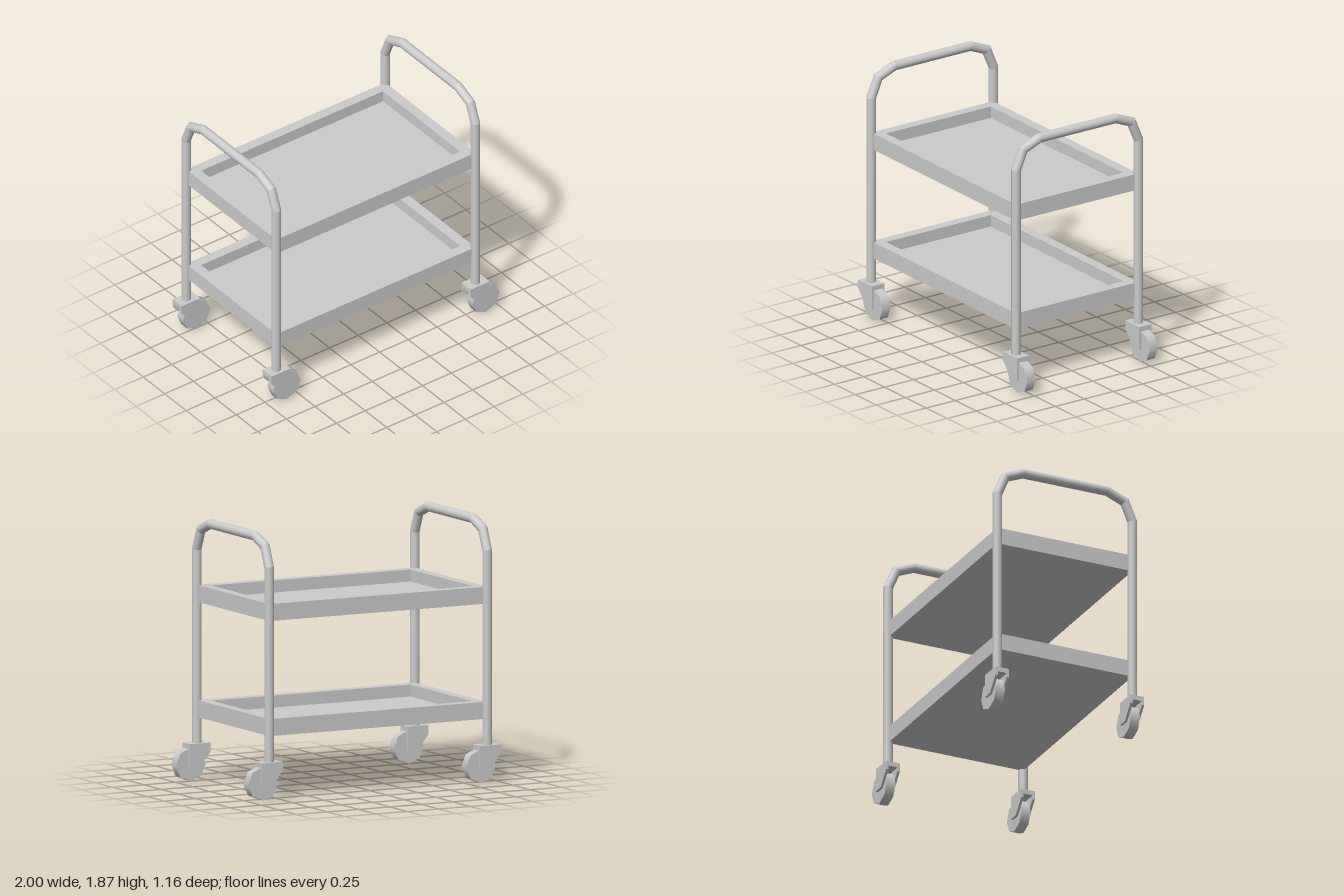
import * as THREE from 'three';
import { mergeGeometries } from 'three/addons/utils/BufferGeometryUtils.js';

const material = new THREE.MeshStandardMaterial({ color: 0xcccccc, side: THREE.DoubleSide });
const END_X = [-0.92, 0.815]; // x of the two end frames
const LEG_Z = 0.525;

function part(name, geometry, x = 0, y = 0, z = 0) {
  const mesh = new THREE.Mesh(geometry, material);
  mesh.name = name;
  mesh.position.set(x, y, z);
  return mesh;
}

// Round tube along [z, y] points, with mitred joints and straight segments
function mitredTube(points, radius) {
  const angles = points.slice(1).map((p, i) => Math.atan2(p[0] - points[i][0], p[1] - points[i][1]));
  const segments = angles.map((angle, i) => {
    const [z0, y0] = points[i], [z1, y1] = points[i + 1];
    const geometry = new THREE.CylinderGeometry(radius, radius, Math.hypot(z1 - z0, y1 - y0), 16, 1, true);
    const pos = geometry.attributes.position;
    for (let v = 0; v < pos.count; v++) {
      const neighbour = pos.getY(v) > 0 ? angles[i + 1] : angles[i - 1];
      const turn = (neighbour ?? angle) - angle;
      pos.setY(v, pos.getY(v) - pos.getZ(v) * Math.tan(turn / 2));
    }
    return geometry.rotateX(angle).translate(0, (y0 + y1) / 2, (z0 + z1) / 2);
  });
  return mergeGeometries(segments);
}

// Deep-rimmed tray with its floor set inside the rim
function createTray(name, y) {
  const tray = new THREE.Group();
  tray.name = name;
  const rect = (Type, x0, x1, z0, z1) => new Type([
    new THREE.Vector2(x0, z0), new THREE.Vector2(x1, z0),
    new THREE.Vector2(x1, z1), new THREE.Vector2(x0, z1),
  ]);
  const outline = rect(THREE.Shape, END_X[0], END_X[1], -LEG_Z, LEG_Z);
  outline.holes.push(rect(THREE.Path, -0.845, 0.74, -0.45, 0.45));
  const rim = new THREE.ExtrudeGeometry(outline, { depth: 0.12, bevelEnabled: false }).rotateX(-Math.PI / 2);
  tray.add(part('trayRim', rim));
  tray.add(part('trayFloor', new THREE.BoxGeometry(1.585, 0.035, 0.9), -0.0525, 0.0175, 0));
  tray.position.y = y;
  return tray;
}

// Fork and wheel; the origin is on the floor below the leg
function createCaster() {
  const caster = new THREE.Group();
  caster.name = 'caster';
  const cheek = new THREE.Shape([[-0.08, 0.23], [-0.08, 0.2], [0.01, 0.095], [0.085, 0.095], [0.085, 0.23]]
    .map(([x, y]) => new THREE.Vector2(x, y)));
  for (const z of [-0.053, 0.035]) {
    caster.add(part('forkCheek', new THREE.ExtrudeGeometry(cheek, { depth: 0.018, bevelEnabled: false }), 0, 0, z));
  }
  caster.add(part('forkTop', new THREE.BoxGeometry(0.165, 0.035, 0.106), 0.0025, 0.2475, 0));
  const wheel = new THREE.CylinderGeometry(0.118, 0.118, 0.07, 8).rotateX(Math.PI / 2);
  caster.add(part('wheel', wheel, 0.067, 0.118, 0));
  return caster;
}

export function createModel() {
  const cart = new THREE.Group();
  cart.name = 'trolley';

  // Arched end frames: legs and push handle in one bent tube
  const half = [[LEG_Z, 0.255], [LEG_Z, 1.635], [0.465, 1.777], [0.327, 1.833]];
  const path = [...half, ...half.map(([z, y]) => [-z, y]).reverse()];
  const frame = mitredTube(path, 0.034);

  for (const x of END_X) {
    cart.add(part('endFrame', frame, x));
    for (const side of [-1, 1]) {
      const caster = createCaster();
      caster.position.set(x, 0, side * LEG_Z);
      cart.add(caster);
    }
  }

  cart.add(createTray('lowerTray', 0.445), createTray('upperTray', 1.257));
  return cart;
}
